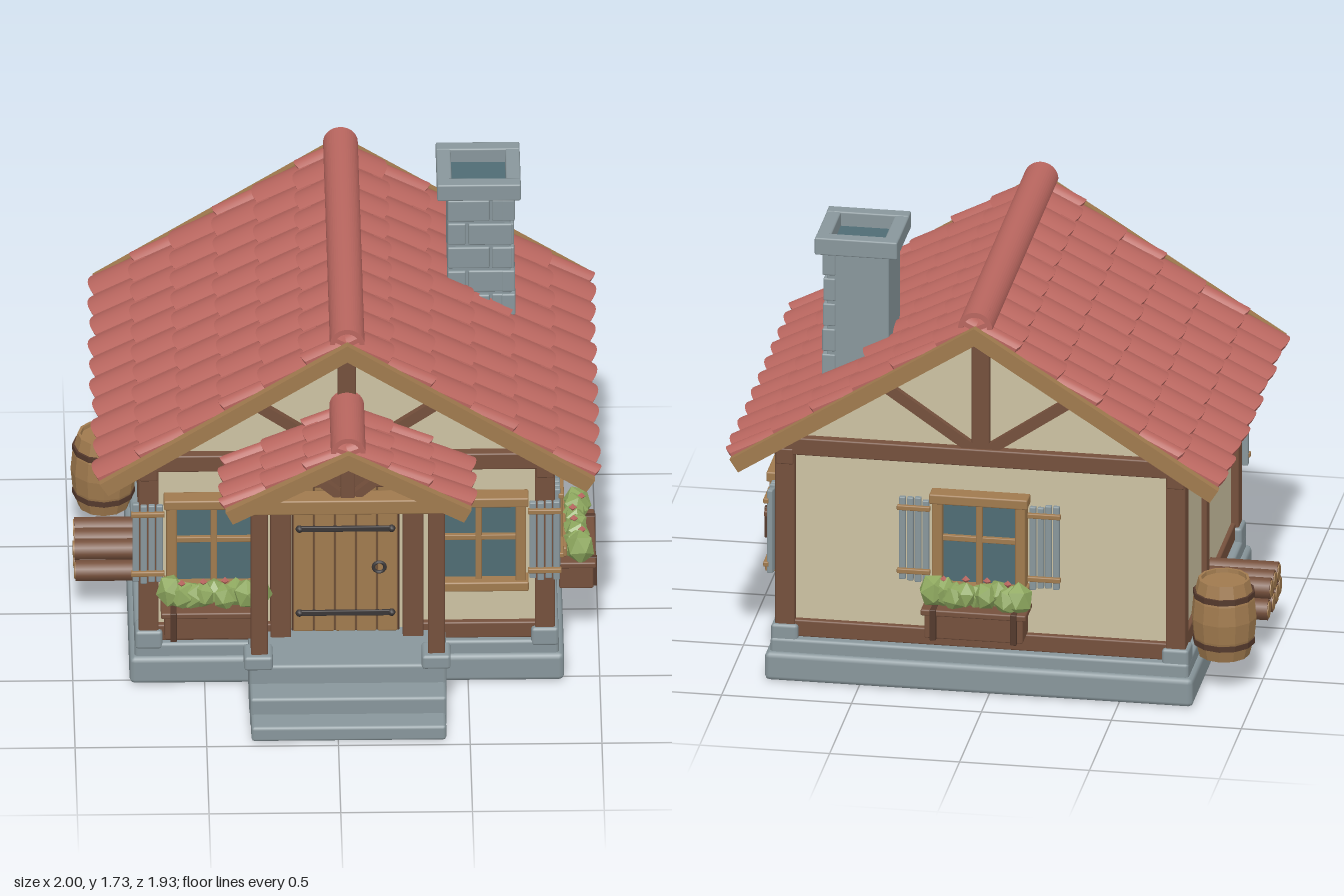
import * as THREE from 'three';
import { mergeGeometries } from 'three/addons/utils/BufferGeometryUtils.js';
import { RoundedBoxGeometry } from 'three/addons/geometries/RoundedBoxGeometry.js';

const paint = (name, color) => Object.assign(new THREE.MeshStandardMaterial({ color }), { name });
const M = {
  plaster: paint('cream plaster', 0xcdc2a2), tile: paint('clay tile', 0xb9665f),
  dark: paint('dark timber', 0x75503c), light: paint('light timber', 0xa07a4e),
  stone: paint('grey stone', 0x88969b), glass: paint('window glass', 0x4f6c74),
  leaf: paint('leaf green', 0x8ea85f), iron: paint('black iron', 0x3a3636),
  deep: paint('shadowed timber', 0x54392c),
};
const CX = 0.04; // centre line of the house

// Seeded jitter in -1..1
let seed = 7;
const jitter = () => { seed = (seed * 16807) % 2147483647; return seed / 1073741823.5 - 1; };

// Merge pieces into one named mesh
function part(group, name, material, pieces) {
  const list = pieces.map(g => (g.index ? g.toNonIndexed() : g));
  const mesh = new THREE.Mesh(mergeGeometries(list), material);
  mesh.name = name;
  group.add(mesh);
  return mesh;
}
// Bevelled box given by its extents
function box(x0, x1, y0, y1, z0, z1, r = 0.006) {
  const w = x1 - x0, h = y1 - y0, d = z1 - z0;
  return new RoundedBoxGeometry(w, h, d, 1, Math.min(r, w * 0.3, h * 0.3, d * 0.3))
    .translate((x0 + x1) / 2, (y0 + y1) / 2, (z0 + z1) / 2);
}
// Straight beam between two points of the xy plane
function beam(xa, ya, xb, yb, w, z0, z1) {
  return new THREE.BoxGeometry(Math.hypot(xb - xa, yb - ya), w, z1 - z0)
    .rotateZ(Math.atan2(yb - ya, xb - xa)).translate((xa + xb) / 2, (ya + yb) / 2, (z0 + z1) / 2);
}
const poly = pts => new THREE.Shape(pts.map(p => new THREE.Vector2(...p)));
const extrude = (shape, z0, z1, curveSegments = 12) =>
  new THREE.ExtrudeGeometry(shape, { depth: z1 - z0, bevelEnabled: false, curveSegments }).translate(0, 0, z0);
// Upturned V running along z, with square-cut ends
function chevron(half, top, slope, t, z0, z1) {
  const k = Math.hypot(1, slope), ex = half - t * slope / k, ey = top - slope * half - t / k;
  return extrude(poly([[CX, top], [CX - half, top - slope * half], [CX - ex, ey], [CX, top - t * k],
    [CX + ex, ey], [CX + half, top - slope * half]]), z0, z1);
}

// Arched roof tile: x runs down the slope, z across it
function roofTile(len, w) {
  const g = new THREE.BoxGeometry(len, 0.018, w, 1, 1, 6), p = g.attributes.position;
  for (let i = 0; i < p.count; i++) {
    const u = 2 * p.getZ(i) / w;
    p.setY(i, p.getY(i) + 0.02 * (1 - u * u));
    p.setX(i, p.getX(i) + (p.getX(i) > 0 ? 0.014 * (1 - u * u) : 0));
  }
  g.computeVertexNormals();
  return g.rotateZ(0.1);
}

function buildRoof(model, name, { half, top, slope, z0, z1, rows, cols, ends }) {
  const roof = new THREE.Group();
  roof.name = name;
  const angle = Math.atan(slope), step = half / Math.cos(angle) / rows, w = (z1 - z0) / cols;
  part(roof, 'roofDeck', M.dark, [chevron(half - 0.012, top - 0.025, slope, 0.035, z0, z1)]);
  part(roof, 'bargeBoards', M.light, ends.map(([a, b]) => chevron(half, top, slope, 0.06, a, b)));
  const tiles = [];
  for (const side of [0, 1]) for (let r = 0; r < rows; r++) {
    const odd = (r + side) % 2;
    for (let c = 0; c < cols + odd; c++) {
      const a = Math.max(z0, z0 + (c - odd / 2) * w), b = Math.min(z1, z0 + (c + 1 - odd / 2) * w);
      const len = step * 1.25, down = (r + 1) * step - len / 2 + 0.006 * jitter() - 0.008;
      tiles.push(roofTile(len, b - a - 0.006).translate(down, 0, 0).rotateZ(-angle)
        .rotateY(side * Math.PI).translate(CX, top - 0.01, (a + b) / 2));
    }
  }
  part(roof, 'roofTiles', M.tile, tiles);
  // Hollow half-round ridge cap
  const arc = new THREE.Shape();
  arc.absarc(0, 0, 0.066, 0, Math.PI, false);
  arc.absarc(0, 0, 0.046, Math.PI, 0, true);
  part(roof, 'ridgeCap', M.tile, [extrude(arc, z0, z1).translate(CX, top - 0.012, 0)]);
  model.add(roof);
}

// Window facing +z from a wall at z = 0; shutters lists the sides that carry one
function buildWindow(model, name, x, z, turn, shutters, planter) {
  const g = new THREE.Group();
  g.name = name;
  part(g, 'windowFrame', M.light, [
    box(-0.18, -0.14, 0.42, 0.8, 0, 0.065), box(0.14, 0.18, 0.42, 0.8, 0, 0.065),
    box(-0.19, 0.19, 0.772, 0.812, 0, 0.075), box(-0.19, 0.19, 0.405, 0.445, 0, 0.08),
    box(-0.012, 0.012, 0.44, 0.78, 0.02, 0.05, 0.003), box(-0.15, 0.15, 0.615, 0.637, 0.02, 0.048, 0.003)]);
  part(g, 'windowGlass', M.glass, [new THREE.BoxGeometry(0.29, 0.34, 0.008).translate(0, 0.61, 0.026)]);
  const slats = [], battens = [];
  for (const s of shutters) {
    for (let i = 0; i < 4; i++) {
      const cx = s * (0.206 + i * 0.03);
      slats.push(box(cx - 0.0125, cx + 0.0125, 0.44 + 0.007 * jitter(), 0.78 + 0.007 * jitter(), 0.03, 0.052, 0.004));
    }
    for (const y of [0.485, 0.745]) battens.push(box(s * 0.251 - 0.064, s * 0.251 + 0.064, y - 0.01, y + 0.01, 0.045, 0.066, 0.004));
  }
  if (slats.length) {
    part(g, 'shutterSlats', M.stone, slats);
    part(g, 'shutterBattens', M.light, battens);
  }
  if (planter) {
    part(g, 'flowerBox', M.dark, [box(-0.19, 0.19, 0.265, 0.37, 0.05, 0.18),
      box(-0.203, 0.203, 0.36, 0.385, 0.045, 0.19)]);
    part(g, 'flowerBoxStraps', M.deep, [-0.155, 0.155].map(a => box(a - 0.012, a + 0.012, 0.262, 0.387, 0.1, 0.194, 0.003)));
    const leaves = [], buds = [];
    for (let i = 0; i < 9; i++) {
      const u = i / 4 - 1, big = 0.044 + 0.014 * Math.abs(u);
      leaves.push(new THREE.IcosahedronGeometry(big, 0).rotateY(3 * jitter()).rotateX(jitter())
        .scale(1, 1.2, 1).translate(u * 0.165, 0.43 + 0.012 * jitter(), 0.12 + 0.018 * jitter()));
      if (i % 2) buds.push(new THREE.OctahedronGeometry(0.016).translate(u * 0.165, 0.487, 0.125 + 0.02 * jitter()));
    }
    part(g, 'foliage', M.leaf, leaves);
    part(g, 'flowerBuds', M.tile, buds);
  }
  g.position.set(x, 0, z);
  g.rotation.y = turn;
  model.add(g);
}

function buildChimney(model) {
  const stones = [box(0.435, 0.675, 0.95, 1.66, -0.53, -0.275)];
  for (let i = 0; i < 5; i++) { // staggered courses on the front and outer faces
    const y = 1.14 + i * 0.104, cut = i % 2 ? 0.51 : 0.6, e = 0.004 * jitter();
    stones.push(box(0.436, cut - 0.004, y, y + 0.092, -0.3, -0.265 + e), box(cut + 0.004, 0.682, y, y + 0.092, -0.3, -0.265 - e));
    stones.push(box(0.64, 0.69 + e, y, y + 0.092, -0.535, -0.266));
  }
  for (const s of [-1, 1]) {
    stones.push(box(0.396, 0.714, 1.655, 1.725, -0.4125 + s * 0.135 - 0.028, -0.4125 + s * 0.135 + 0.028));
    stones.push(box(0.555 + s * 0.131 - 0.028, 0.555 + s * 0.131 + 0.028, 1.657, 1.723, -0.53, -0.295));
  }
  part(model, 'chimney', M.stone, stones);
  part(model, 'chimneyFlue', M.glass, [new THREE.BoxGeometry(0.22, 0.008, 0.23).translate(0.555, 1.664, -0.4125)]);
}

function buildDoor(model) {
  const planks = [];
  for (let i = 0; i < 5; i++) planks.push(box(-0.163 + i * 0.08, -0.087 + i * 0.08, 0.21, 0.86, 0.48, 0.505));
  part(model, 'doorPlanks', M.light, planks);
  part(model, 'doorBacking', M.deep, [box(-0.17, 0.24, 0.2, 0.87, 0.465, 0.49)]);
  part(model, 'doorFrame', M.dark, [box(-0.25, -0.172, 0.2, 0.9, 0.46, 0.54), box(0.252, 0.33, 0.2, 0.9, 0.46, 0.54),
    box(-0.25, 0.33, 0.858, 0.93, 0.46, 0.53),
    beam(-0.21, 0.78, -0.13, 0.88, 0.035, 0.47, 0.53), beam(0.29, 0.78, 0.21, 0.88, 0.035, 0.47, 0.53)]);
  const iron = [new THREE.TorusGeometry(0.022, 0.007, 6, 14).translate(0.163, 0.5, 0.517)];
  for (const y of [0.295, 0.665]) {
    iron.push(box(-0.14, 0.21, y - 0.011, y + 0.011, 0.5, 0.515, 0.003));
    for (const x of [-0.14, 0.21]) iron.push(new THREE.SphereGeometry(0.015, 8, 6).translate(x, y, 0.508));
  }
  part(model, 'doorIronwork', M.iron, iron);
}

function buildBarrelAndLogs(model) {
  // Barrel
  const prof = [[0, 0], [0.098, 0], [0.118, 0.08], [0.125, 0.155], [0.118, 0.23], [0.098, 0.31], [0.088, 0.31], [0.086, 0.295], [0, 0.295]];
  const place = g => { const f = g.toNonIndexed(); f.computeVertexNormals(); return f.translate(-0.865, 0.135, -0.592); };
  part(model, 'barrel', M.light, [place(new THREE.LatheGeometry(prof.map(p => new THREE.Vector2(...p)), 12))]);
  part(model, 'barrelHoops', M.deep, [[0.06, 0.116], [0.25, 0.116]].map(([y, r]) =>
    place(new THREE.CylinderGeometry(r + 0.003, r + 0.003, 0.022, 12).translate(0, y, 0))));
  // Stacked firewood: four below, three above
  const bark = [], cuts = [];
  for (let i = 0; i < 7; i++) {
    const y = i < 4 ? 0.182 : 0.252, z = -0.255 + (i < 4 ? i : i - 3.5) * 0.081, tip = -0.985 + 0.006 * jitter();
    bark.push(new THREE.CylinderGeometry(0.041, 0.041, 0.27, 10).rotateZ(Math.PI / 2).translate(tip + 0.135, y, z));
    cuts.push(new THREE.CylinderGeometry(0.033, 0.033, 0.006, 10).rotateZ(Math.PI / 2).translate(tip - 0.001, y, z));
  }
  part(model, 'firewood', M.dark, bark);
  part(model, 'firewoodEnds', M.light, cuts);
}

export function createModel() {
  const model = new THREE.Group();
  model.name = 'cottage';

  // Stone base, porch steps and corner stones
  part(model, 'foundation', M.stone, [box(-0.785, 0.865, 0, 0.115, -0.835, 0.535, 0.02), box(-0.765, 0.845, 0.1, 0.168, -0.812, 0.515, 0.012)]);
  part(model, 'porchSteps', M.stone, [box(-0.335, 0.415, 0, 0.207, 0.45, 0.755, 0.012),
    box(-0.333, 0.413, 0, 0.13, 0.7, 0.87, 0.012), box(-0.33, 0.41, 0, 0.062, 0.8, 0.97, 0.012)]);
  const stones = [];
  for (const x of [-0.712, 0.792]) for (const z of [-0.753, 0.467]) stones.push(box(x - 0.052, x + 0.052, 0.145, 0.222, z - 0.052, z + 0.052, 0.012));
  for (const x of [-0.3, 0.375]) stones.push(box(x - 0.055, x + 0.055, 0.198, 0.257, 0.663, 0.778, 0.012));
  part(model, 'postStones', M.stone, stones);

  // Plastered walls with both gables
  part(model, 'walls', M.plaster, [extrude(poly([[-0.72, 0.15], [0.8, 0.15], [0.8, 0.96], [CX, 1.45], [-0.72, 0.96]]), -0.76, 0.47)]);

  // Timber framing
  const frame = [];
  for (const x of [-0.712, 0.792]) {
    for (const z of [-0.753, 0.467]) frame.push(box(x - 0.038, x + 0.038, 0.2, 0.97, z - 0.038, z + 0.038));
    frame.push(box(x - 0.03, x + 0.03, 0.165, 0.92, -0.25, -0.183));
    frame.push(box(x - 0.025, x + 0.025, 0.17, 0.238, -0.75, 0.46), box(x - 0.034, x + 0.034, 0.88, 0.945, -0.8, 0.51));
  }
  for (const [z0, z1] of [[0.45, 0.498], [-0.785, -0.74]]) {
    frame.push(box(-0.76, 0.84, 0.92, 0.99, z0 - 0.012, z1 + 0.012), box(CX - 0.035, CX + 0.035, 0.98, 1.46, z0, z1));
    for (const s of [-1, 1]) frame.push(beam(CX + s * 0.03, 0.985, CX + s * 0.37, 1.22, 0.042, z0, z1));
  }
  frame.push(box(-0.74, -0.2, 0.17, 0.238, 0.45, 0.495), box(0.28, 0.82, 0.17, 0.238, 0.45, 0.495), box(-0.74, 0.82, 0.17, 0.238, -0.785, -0.74));
  part(model, 'timberFrame', M.dark, frame);

  // Roofs
  buildRoof(model, 'mainRoof', { half: 0.94, top: 1.545, slope: 0.64, z0: -0.905, z1: 0.605, rows: 6, cols: 10, ends: [[0.605, 0.637], [-0.937, -0.905]] });
  buildRoof(model, 'porchRoof', { half: 0.467, top: 1.205, slope: 0.53, z0: 0.48, z1: 0.842, rows: 3, cols: 3, ends: [[0.842, 0.876]] });
  buildChimney(model);

  // Porch posts, beams and gable truss
  const porch = [box(0.012, 0.068, 0.93, 1.15, 0.7, 0.74)];
  for (const s of [-1, 1]) {
    const x = CX + s * 0.336;
    porch.push(box(x - 0.032, x + 0.032, 0.24, 0.89, 0.687, 0.753), box(x - 0.028, x + 0.028, 0.875, 0.935, 0.46, 0.7));
    porch.push(beam(CX + s * 0.03, 0.94, CX + s * 0.17, 1.06, 0.035, 0.7, 0.735));
  }
  part(model, 'porchFrame', M.dark, porch);
  part(model, 'porchBeam', M.light, [box(-0.35, 0.425, 0.877, 0.938, 0.68, 0.765)]);
  buildDoor(model);

  // Windows
  buildWindow(model, 'frontLeftWindow', 0.54, 0.47, 0, [1], false);
  buildWindow(model, 'frontRightWindow', -0.465, 0.47, 0, [-1], true);
  buildWindow(model, 'sideFrontWindow', 0.8, 0.105, Math.PI / 2, [-1, 1], true);
  buildWindow(model, 'sideBackWindow', 0.8, -0.535, Math.PI / 2, [-1, 1], false);
  buildWindow(model, 'backWindow', CX, -0.765, Math.PI, [-1, 1], true);

  buildBarrelAndLogs(model);
  return model;
}
